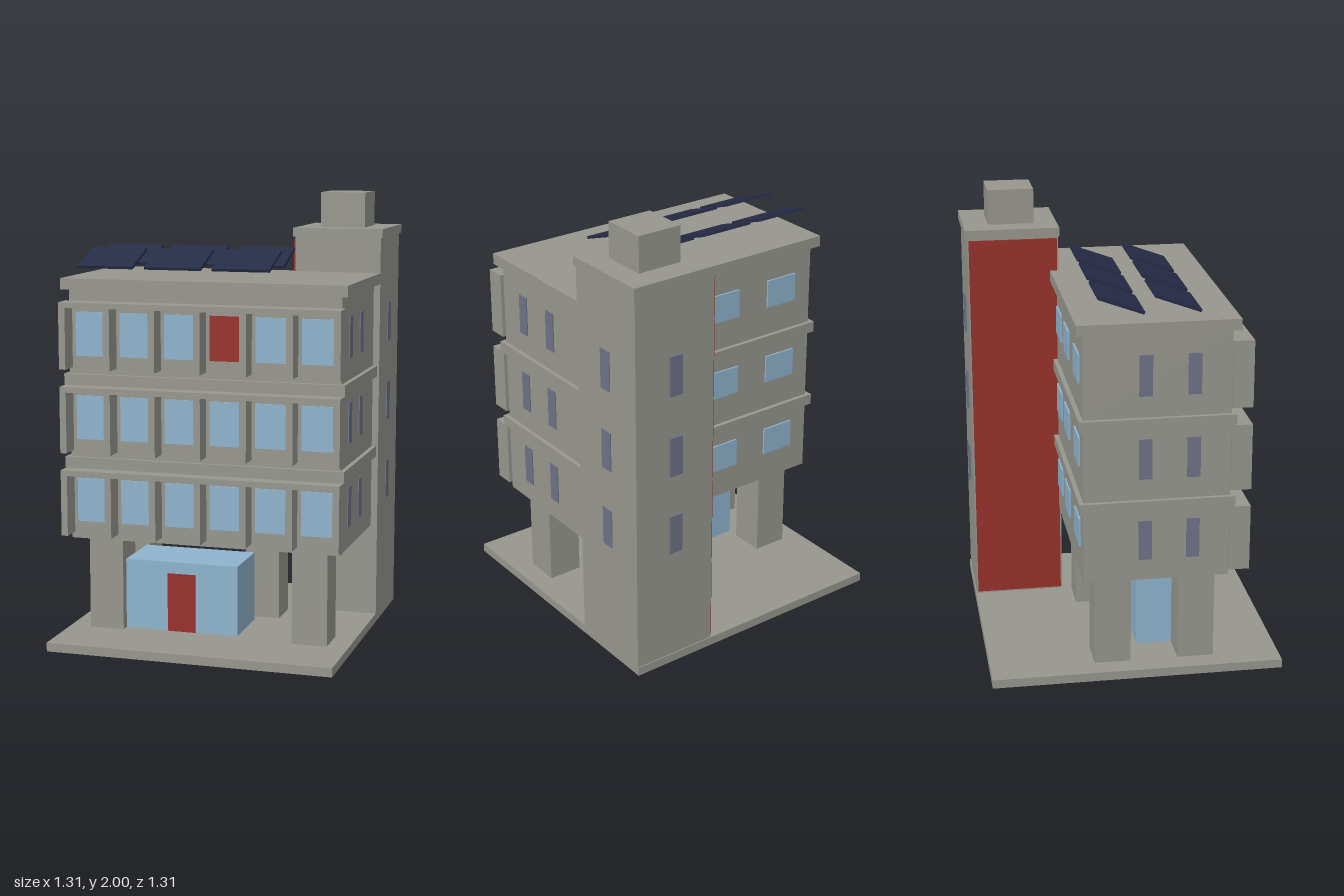
import * as THREE from 'three';

const mat = (name, color) => {
  const m = new THREE.MeshStandardMaterial({ color });
  m.name = name;
  return m;
};

export function createModel() {
  const concrete = mat('concrete', 0x97978f);
  const glass = mat('glass', 0x8fb4ce);
  const smoked = mat('smokedGlass', 0x6e7286);
  const red = mat('redPaint', 0x99312b);
  const solar = mat('solarBlue', 0x262c47);

  const model = new THREE.Group();
  model.name = 'officeBuilding';

  // Box between two limits on each axis
  const box = (name, material, [x0, x1], [y0, y1], [z0, z1], parent = model) => {
    const mesh = new THREE.Mesh(new THREE.BoxGeometry(x1 - x0, y1 - y0, z1 - z0), material);
    mesh.position.set((x0 + x1) / 2, (y0 + y1) / 2, (z0 + z1) / 2);
    mesh.name = name;
    parent.add(mesh);
    return mesh;
  };

  // Ground slab
  box('groundSlab', concrete, [-0.655, 0.645], [0, 0.04], [-0.65, 0.65]);

  // Pillars under the raised floors
  for (const [x, z] of [[-0.56, 0.19], [0.39, 0.19], [-0.56, -0.185], [0.07, -0.185]])
    box('pillar', concrete, [x, x + 0.16], [0.04, 0.465], [z, z + 0.163]);

  // Glazed lobby with its door
  box('lobby', glass, [-0.4, 0.127], [0.04, 0.36], [0.03, 0.312]);
  box('lobbyDoor', red, [-0.2, -0.07], [0.04, 0.307], [0.311, 0.318]);

  // Three office floors
  const step = 0.207;
  for (let f = 0; f < 3; f++) {
    const floor = new THREE.Group();
    floor.name = 'floor' + (f + 1);
    floor.position.y = f * 0.375;
    model.add(floor);

    const top = f === 2;
    box('floorBody', concrete, [-0.625, 0.615], [0.465, top ? 0.84 : 0.79], [-0.24, 0.4], floor);
    if (top) box('roofSlab', concrete, [-0.655, 0.645], [0.84, 0.89], [-0.27, 0.43], floor);
    else box('floorSlab', concrete, [-0.645, 0.635], [0.79, 0.84], [-0.26, 0.42], floor);

    // Sunshade: a hood carried by upright fins
    box('sunshadeHood', concrete, [-0.641, 0.631], [0.765, 0.79], [0.4, 0.49], floor);
    for (let i = 0; i < 7; i++) {
      const x = -0.626 + i * step;
      box('sunshadeFin', concrete, [x - 0.015, x + 0.015], [0.492, 0.765], [0.4, 0.49], floor);
    }

    // Front windows, one of them a red panel
    for (let i = 0; i < 6; i++) {
      const x = -0.523 + i * step;
      const isRed = top && i === 3;
      box(isRed ? 'redPanel' : 'frontWindow', isRed ? red : glass,
        [x - 0.07, x + 0.07], [0.545, 0.742], [0.399, 0.407], floor);
    }

    // Narrow side windows
    for (const z of [0.21, 0.0])
      for (const x of [-0.63, 0.612])
        box('sideWindow', smoked, [x, x + 0.008], [0.56, 0.742], [z, z + 0.058], floor);

    // Back windows
    for (const x of [0.128, -0.13, -0.454])
      box('backWindow', glass, [x - 0.08, x + 0.08], [0.6, 0.73], [-0.248, -0.239], floor);

    // Stair tower windows
    box('towerSideWindow', smoked, [0.64, 0.649], [0.56, 0.742], [-0.465, -0.4], floor);
    box('towerBackWindow', smoked, [0.41, 0.475], [0.56, 0.742], [-0.653, -0.644], floor);
  }

  // Stair tower with cap, roof box and red side wall
  box('stairTower', concrete, [0.245, 0.645], [0.04, 1.8], [-0.645, -0.23]);
  box('towerCap', concrete, [0.234, 0.654], [1.8, 1.84], [-0.655, -0.225]);
  box('towerRoofBox', concrete, [0.34, 0.548], [1.84, 2], [-0.54, -0.33]);
  box('towerRedWall', red, [0.237, 0.246], [0.05, 1.79], [-0.638, -0.237]);

  // Two rows of tilted solar panels
  for (const z of [0.162, -0.078])
    for (const x of [-0.508, -0.19, 0.125]) {
      const panel = new THREE.Mesh(new THREE.BoxGeometry(0.264, 0.012, 0.208), solar);
      panel.position.set(x, 1.713, z);
      panel.rotation.x = 0.35;
      panel.name = 'solarPanel';
      model.add(panel);
    }

  return model;
}
